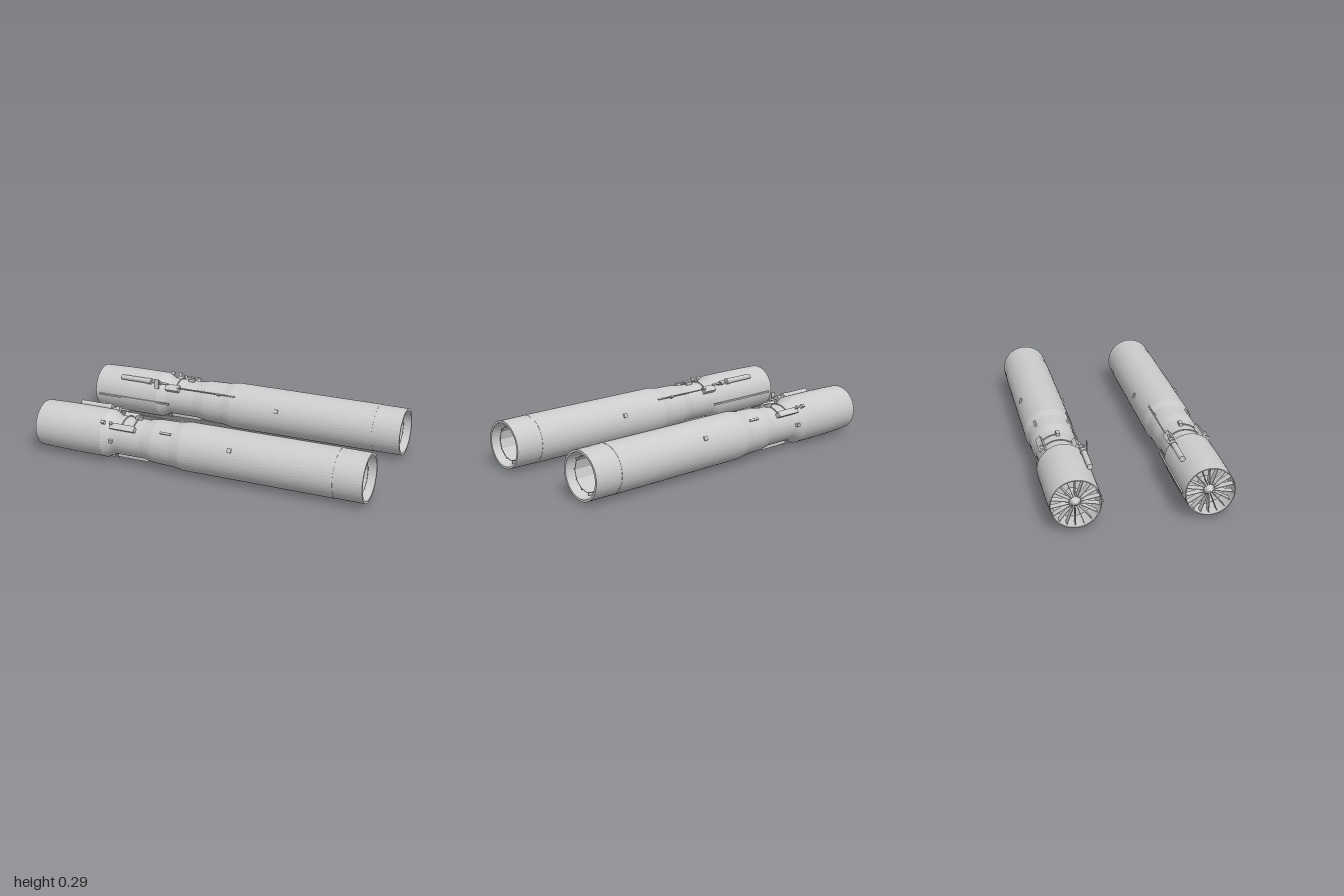
import * as THREE from 'three';

const metal = new THREE.MeshStandardMaterial({ color: 0xcccccc, flatShading: true });
metal.name = 'grey metal';

// One engine along x; side is +1 or -1, angles run from the top towards the outer side
function createEngine(side) {
  const engine = new THREE.Group();
  const add = (name, geometry) => {
    const mesh = new THREE.Mesh(geometry, metal);
    mesh.name = name;
    engine.add(mesh);
    return mesh;
  };
  // Solid of revolution from [x, radius] pairs
  const lathe = (name, profile, sides = 48) =>
    add(name, new THREE.LatheGeometry(profile.map(([x, r]) => new THREE.Vector2(r, x)), sides)
      .rotateZ(-Math.PI / 2));
  // Place a mesh around the axis
  const around = (mesh, x, degrees, r) => {
    const a = side * THREE.MathUtils.degToRad(degrees);
    mesh.position.set(x, r * Math.cos(a), r * Math.sin(a));
    mesh.rotation.x = a;
    return mesh;
  };
  // Box between x0 and x1, with radial height h and tangential width w
  const box = (name, x0, x1, degrees, r, h, w) =>
    around(add(name, new THREE.BoxGeometry(x1 - x0, h, w)), (x0 + x1) / 2, degrees, r);
  // Rod parallel to the axis
  const rod = (name, x0, x1, degrees, r, radius) =>
    around(add(name, new THREE.CylinderGeometry(radius, radius, x1 - x0, 12).rotateZ(Math.PI / 2)),
      (x0 + x1) / 2, degrees, r);

  // Hollow casing: outer skin, stepped nozzle lip and bore, back to the intake lip
  lathe('casing', [
    [-1, 0.135], [-0.9, 0.138], [-0.78, 0.14], [-0.57, 0.14], [-0.52, 0.115], [-0.5, 0.113],
    [-0.33, 0.113], [-0.26, 0.126], [-0.14, 0.129], [-0.08, 0.14], [0.825, 0.14], [0.825, 0.1385],
    [0.99, 0.138], [0.99, 0.125], [0.85, 0.122], [0.7, 0.105], [-0.5, 0.1], [-0.6, 0.128],
    [-1, 0.13], [-1, 0.135],
  ]);

  // Intake: backing disc, spinner and vanes
  lathe('intakeDisc', [[-0.88, 0], [-0.88, 0.13], [-0.86, 0.13], [-0.86, 0]], 32);
  lathe('spinner', [[-0.995, 0], [-0.985, 0.015], [-0.96, 0.03], [-0.94, 0.037], [-0.87, 0.037]], 24);
  for (let i = 0; i < 18; i++) {
    box('intakeVane', -0.98, -0.94, i * 20, 0.081, 0.1, 0.003);
  }

  // Exhaust: faceted convergent nozzle, turbine disc, vane rings and tail cone
  lathe('innerNozzle', [[0.84, 0.121], [0.95, 0.102], [0.95, 0.098], [0.77, 0.103]], 12);
  for (let i = 0; i < 12; i++) {
    box('nozzleRib', 0.86, 0.94, i * 30, 0.111, 0.014, 0.006);
  }
  lathe('turbineDisc', [[0.76, 0], [0.76, 0.106], [0.78, 0.106], [0.78, 0]], 36);
  lathe('vaneRing', [[0.78, 0.068], [0.83, 0.068], [0.83, 0.06], [0.78, 0.06]], 36);
  lathe('tailCone', [[0.77, 0.04], [0.82, 0.04], [0.88, 0]], 24);
  for (let i = 0; i < 24; i++) {
    box('outerTurbineVane', 0.78, 0.82, i * 15, 0.084, 0.034, 0.009);
    box('innerTurbineVane', 0.78, 0.81, i * 15 + 7.5, 0.05, 0.022, 0.005);
  }

  // Inner side: actuator, bracket, control rod and strake
  rod('actuator', -0.82, -0.62, -43, 0.156, 0.016);
  rod('actuatorCap', -0.645, -0.615, -43, 0.156, 0.019);
  rod('actuatorRod', -0.63, -0.5, -43, 0.152, 0.006);
  rod('actuatorCollar', -0.59, -0.565, -43, 0.152, 0.013);
  box('actuatorFoot', -0.76, -0.74, -43, 0.14, 0.02, 0.012);
  box('actuatorLug', -0.57, -0.555, -43, 0.145, 0.045, 0.012);
  box('innerBracket', -0.52, -0.43, -48, 0.125, 0.03, 0.04);
  rod('controlRod', -0.44, -0.05, -48, 0.143, 0.004);
  box('rodClamp', -0.17, -0.15, -48, 0.137, 0.018, 0.01);
  box('sideStrake', -0.97, -0.48, -93, 0.143, 0.008, 0.01);

  // Straps over the narrow waist
  for (const [x, from, to] of [[-0.46, -43, 46], [-0.385, -2, 46]]) {
    const length = THREE.MathUtils.degToRad(to - from);
    const strap = add('waistStrap', new THREE.TorusGeometry(0.116, 0.004, 6, 16, length)
      .rotateY(-Math.PI / 2));
    strap.position.x = x;
    // The arc starts towards +z and sweeps up and over
    strap.rotation.x = THREE.MathUtils.degToRad((side > 0 ? to : -from) - 90);
  }
  box('strapBlock', -0.405, -0.365, -2, 0.12, 0.02, 0.02);

  // Outer side fittings
  box('outerBracket', -0.52, -0.365, 48, 0.121, 0.03, 0.026);
  box('outerBracketPlate', -0.52, -0.365, 48, 0.137, 0.008, 0.036);
  box('frontFitting', -0.575, -0.555, 44, 0.145, 0.022, 0.018);
  box('waistFitting', -0.52, -0.5, 88, 0.12, 0.025, 0.018);
  box('upperFitting', -0.52, -0.505, 44, 0.147, 0.024, 0.015);
  box('longFitting', -0.205, -0.14, 44, 0.131, 0.013, 0.012);
  box('rearFitting', 0.217, 0.24, 59, 0.142, 0.012, 0.024);
  box('rearFittingInner', 0.217, 0.24, -68, 0.142, 0.012, 0.024);

  // Underside plates
  box('bellyFin', -0.52, -0.32, 180, 0.123, 0.024, 0.03);
  box('bellyStrake', -0.76, -0.52, 180, 0.142, 0.008, 0.008);
  box('bellyFitting', -0.25, -0.16, 180, 0.13, 0.01, 0.02);
  return engine;
}

export function createModel() {
  const model = new THREE.Group();
  for (const side of [1, -1]) {
    const engine = createEngine(side);
    engine.name = side > 0 ? 'frontEngine' : 'backEngine';
    engine.position.set(0.005, 0.149, side * 0.352);
    model.add(engine);
  }
  // Upright plate on the inner side of the back engine, with its bracket
  const addBox = (name, size, position) => {
    const mesh = new THREE.Mesh(new THREE.BoxGeometry(...size), metal);
    mesh.name = name;
    mesh.position.set(...position);
    model.add(mesh);
  };
  addBox('uprightPlate', [0.03, 0.06, 0.004], [-0.56, 0.262, -0.217]);
  addBox('plateBracket', [0.014, 0.014, 0.03], [-0.56, 0.258, -0.231]);
  return model;
}
